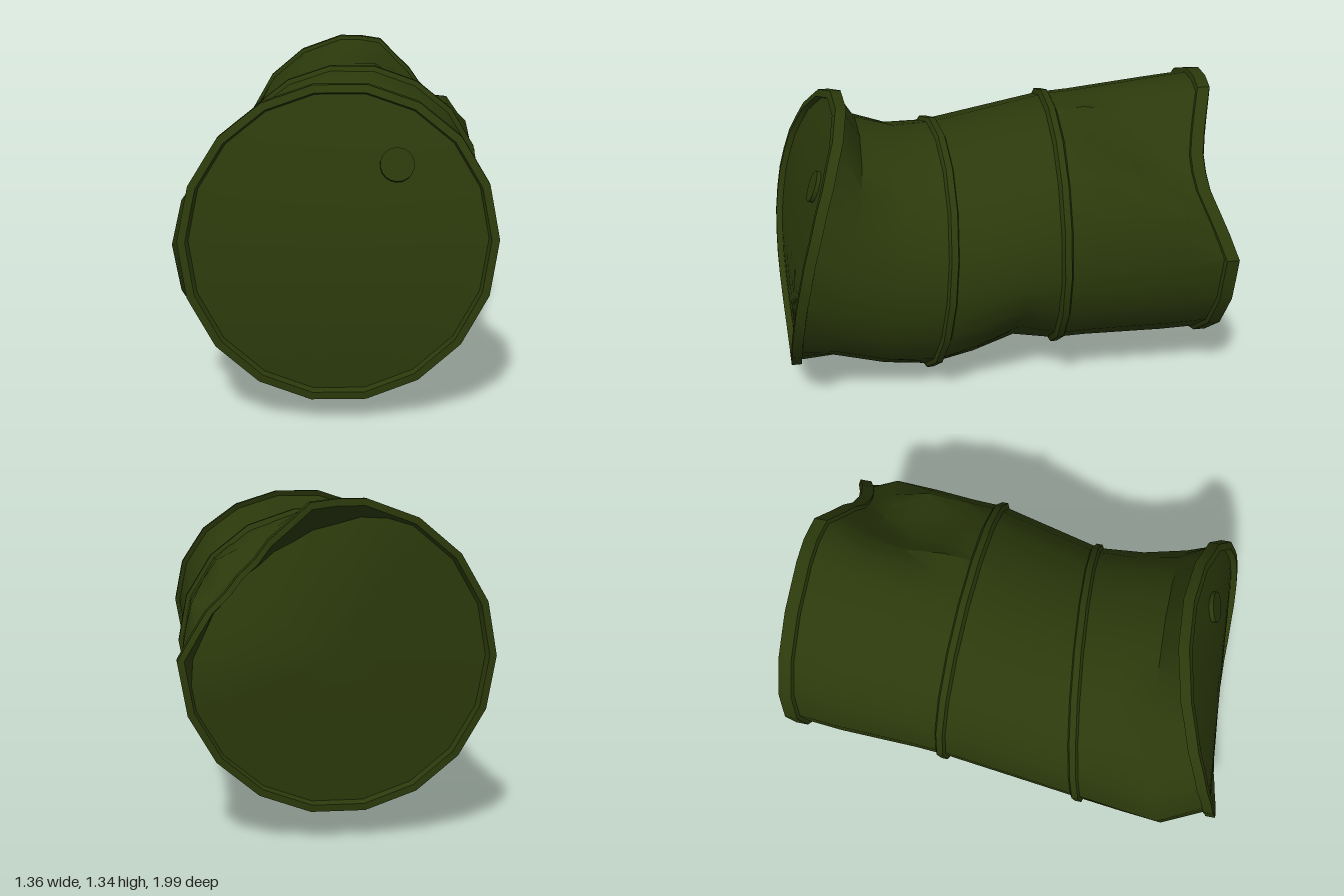
import * as THREE from 'three';
import { toCreasedNormals } from 'three/addons/utils/BufferGeometryUtils.js';

const SIDES = 18, SUB = 2, N = SIDES * SUB;

// Cross-section: z = z0 + a*u + b*u^2 + t*x, u = height in the ring (-1..1).
// dent = [centre angle, half width, depth, push along z]; egg raises the widest line
const section = (z0, a, b, t, cx, cy, rx, ry, egg = 0, dent = null) => ({ z0, a, b, t, cx, cy, rx, ry, egg, dent });
const mix = (p, q, k, dent = null) => {
  const r = { dent };
  for (const key of ['z0', 'a', 'b', 't', 'cx', 'cy', 'rx', 'ry', 'egg']) r[key] = p[key] + (q[key] - p[key]) * k;
  return r;
};

const FRONT = section(0.912, -0.14, -0.092, -0.05, 0.005, 0.705, 0.625, 0.605, 0.05);
const NECK = section(0.69, -0.1, -0.01, -0.03, -0.04, 0.642, 0.64, 0.518, 0.03);
const BULGE = section(0.5, -0.07, -0.02, -0.05, -0.03, 0.585, 0.612, 0.53);
const RIB_A = section(0.295, -0.06, -0.005, -0.07, -0.024, 0.572, 0.607, 0.57);
const RIB_B = section(-0.26, 0, 0, 0.05, 0.035, 0.693, 0.615, 0.572);
const BACK = section(-0.985, 0, 0.015, 0.035, 0.065, 0.732, 0.615, 0.607, 0, [42, 41, 0.21, 0.1]);
const BACK_LID = { ...BACK, dent: [52, 60, 0.21, 0.13] };

// Ring of points around a section, scaled by s and shifted by dz
function ring(sec, s = 1, dz = 0) {
  const pts = [], step = Math.PI * 2 / SIDES;
  for (let i = 0; i < N; i++) {
    const k = Math.floor(i / SUB), f = (i % SUB) / SUB;
    let c = Math.cos(k * step) * (1 - f) + Math.cos((k + 1) * step) * f;
    let u = Math.sin(k * step) * (1 - f) + Math.sin((k + 1) * step) * f;
    u /= Math.cos(step / 2);
    let push = 0;
    if (sec.dent) {
      const [mid, width, depth, dzDent] = sec.dent;
      const d = ((i * 360 / N - mid + 540) % 360) - 180;
      const w = Math.cos(Math.min(1, Math.abs(d) / width) * Math.PI / 2);
      c *= 1 - depth * w;
      u *= 1 - depth * w;
      push = dzDent * w * s * s;
    }
    const x = c * s * sec.rx, us = u * s;
    pts.push(new THREE.Vector3(sec.cx + x, sec.cy + (us + sec.egg * s * (1 - u * u)) * sec.ry,
      sec.z0 + sec.a * us + sec.b * us * us + sec.t * x + push + dz));
  }
  return pts;
}

// Skin a list of rings ordered from front to back
function loft(rings) {
  const pos = [];
  const tri = (a, b, c) => {
    if (a.distanceTo(b) < 1e-6 || b.distanceTo(c) < 1e-6 || a.distanceTo(c) < 1e-6) return;
    pos.push(...a.toArray(), ...b.toArray(), ...c.toArray());
  };
  for (let j = 0; j + 1 < rings.length; j++) {
    for (let i = 0; i < N; i++) {
      const n = (i + 1) % N;
      const a = rings[j][i], b = rings[j][n], c = rings[j + 1][i], d = rings[j + 1][n];
      tri(a, c, b);
      tri(b, c, d);
    }
  }
  const g = new THREE.BufferGeometry();
  g.setAttribute('position', new THREE.Float32BufferAttribute(pos, 3));
  return toCreasedNormals(g, 0.6);
}

export function createModel() {
  const group = new THREE.Group();
  const paint = new THREE.MeshStandardMaterial({ color: 0x2b390b });
  paint.name = 'olive green paint';
  const add = (name, geometry) => {
    const m = new THREE.Mesh(geometry, paint);
    m.name = name;
    group.add(m);
    return m;
  };

  // Dented wall, from the front rim to the back rim
  add('barrelWall', loft([
    ring(FRONT, 0.965, -0.045),
    ring(NECK),
    ring(BULGE),
    ring(RIB_A, 0.97),
    ring(mix(RIB_A, RIB_B, 0.35, [-43, 35, 0.04, 0]), 0.97),
    ring(mix(RIB_A, RIB_B, 0.68, [-43, 40, 0.12, 0]), 0.97),
    ring(RIB_B, 0.97),
    ring(mix(RIB_B, BACK, 0.2, [60, 18, 0.08, 0]), 0.965),
    ring(mix(RIB_B, BACK, 0.44, [63, 24, 0.2, 0]), 0.97),
    ring(mix(RIB_B, BACK, 0.7, [53, 34, 0.23, 0.03]), 0.975),
    ring(BACK, 0.97, 0.055),
  ]));

  // Raised hoops around the wall
  for (const [name, sec] of [['frontHoop', RIB_A], ['backHoop', RIB_B]]) {
    add(name, loft([[0.96, 0.026], [1, 0.014], [1, -0.014], [0.96, -0.026]].map(([s, dz]) => ring(sec, s, dz))));
  }

  // Rolled rims at both ends
  add('frontRim', loft([[0.935, -0.03], [0.95, 0], [1, 0], [1, -0.045], [0.955, -0.05]]
    .map(([s, dz]) => ring(FRONT, s, dz))));
  add('backRim', loft([
    ...[[0.96, 0.065], [1, 0.055], [1, 0], [0.955, 0]].map(([s, dz]) => ring(BACK, s, dz)),
    ring(BACK_LID, 0.94, 0.028),
  ]));

  // Recessed lids, bent with the rims
  const steps = [0, 0.25, 0.5, 0.75, 0.94];
  add('frontLid', loft(steps.map(s => ring(FRONT, s, -0.028))));
  add('backLid', loft(steps.slice().reverse().map(s => ring(BACK_LID, s, 0.028))));

  // Filler plug on the front lid
  const plug = add('fillerPlug', new THREE.CylinderGeometry(0.068, 0.068, 0.03, 18));
  plug.position.set(0.23, 1.01, 0.785);
  plug.quaternion.setFromUnitVectors(new THREE.Vector3(0, 1, 0), new THREE.Vector3(0.05, 0.41, 1).normalize());

  return group;
}
